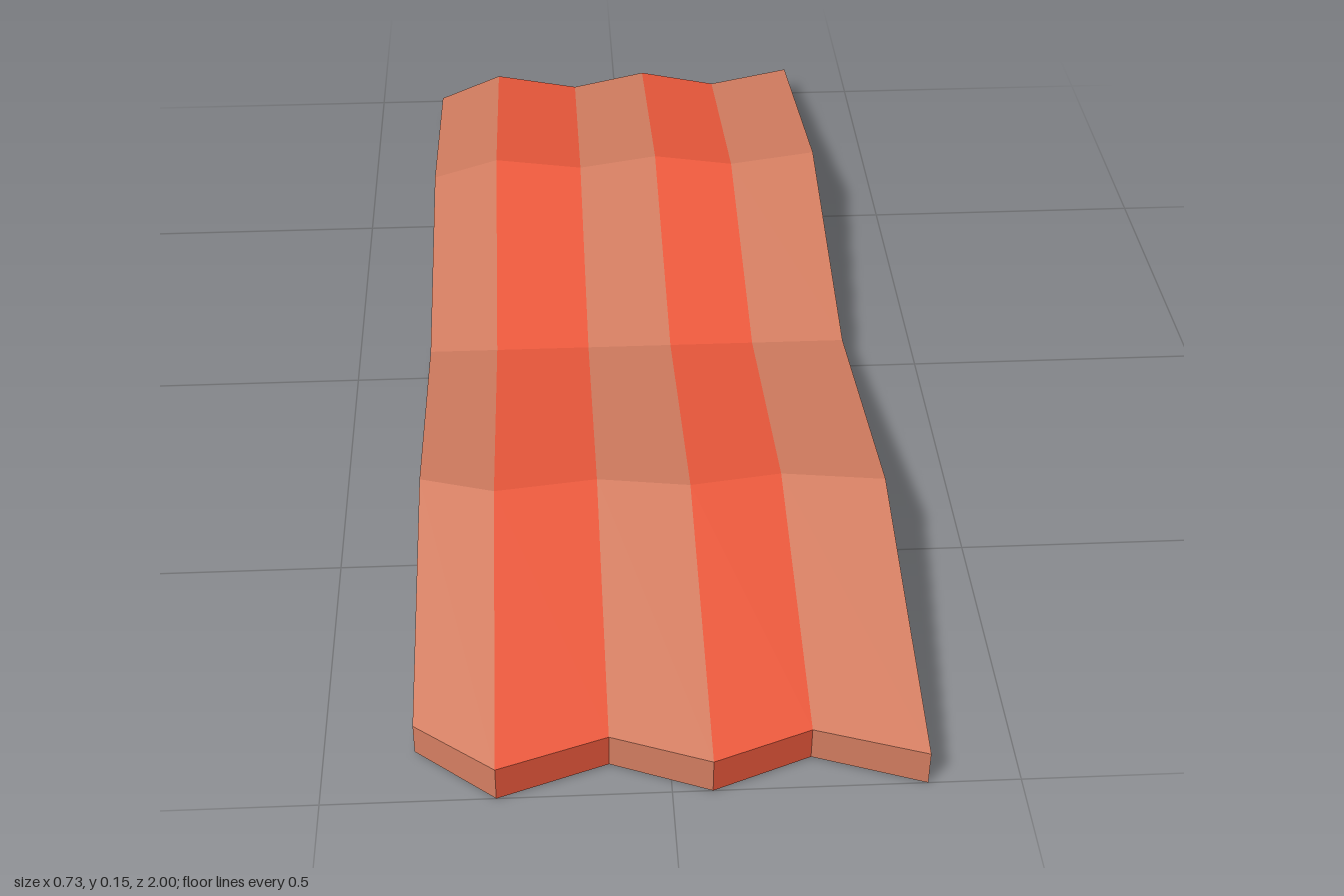
import * as THREE from 'three';

// Column edges across the strip: x, half length, height of the underside at the ends
const columns = [
  { x: -0.368, reach: 0.91, endY: 0.006 },
  { x: -0.25, reach: 1, endY: 0 },
  { x: -0.088, reach: 0.945, endY: 0.003 },
  { x: 0.058, reach: 1, endY: 0 },
  { x: 0.204, reach: 0.945, endY: 0.003 },
  { x: 0.366, reach: 1, endY: 0 },
];
const ROWS = 5;

// Zigzag wave along z: end, crest, middle valley, crest, end
function edgePoints({ x, reach, endY }) {
  const top = [], bottom = [];
  for (let k = 0; k < ROWS; k++) {
    const z = reach * (k / 2 - 1);
    const crest = k % 2 === 1;
    top.push([x, crest ? 0.058 + 0.182 * Math.abs(z) : 0.058, z]);
    const low = k === 2 ? 0.004 : endY;
    bottom.push([x, crest ? 0.004 + 0.176 * Math.abs(z) : low, z]);
  }
  return { top, bottom };
}

// One lengthwise stripe between two edges, walled only on the outside
function stripeGeometry(a, b, leftWall, rightWall) {
  const pos = [];
  const quad = (p, q, r, s) => pos.push(...p, ...q, ...r, ...p, ...r, ...s);
  const end = ROWS - 1;
  for (let k = 0; k < end; k++) {
    quad(a.top[k], a.top[k + 1], b.top[k + 1], b.top[k]);
    quad(a.bottom[k], b.bottom[k], b.bottom[k + 1], a.bottom[k + 1]);
    if (rightWall) quad(b.bottom[k + 1], b.bottom[k], b.top[k], b.top[k + 1]);
    if (leftWall) quad(a.bottom[k], a.bottom[k + 1], a.top[k + 1], a.top[k]);
  }
  // Front and back ends
  quad(a.bottom[end], b.bottom[end], b.top[end], a.top[end]);
  quad(b.bottom[0], a.bottom[0], a.top[0], b.top[0]);
  const geometry = new THREE.BufferGeometry();
  geometry.setAttribute('position', new THREE.Float32BufferAttribute(pos, 3));
  geometry.computeVertexNormals();
  return geometry;
}

export function createModel() {
  const group = new THREE.Group();
  group.name = 'baconStrip';
  const fat = new THREE.MeshStandardMaterial({ color: 0xd67f62, flatShading: true });
  const meat = new THREE.MeshStandardMaterial({ color: 0xee5a3d, flatShading: true });
  const edges = columns.map(edgePoints);

  // Alternating fat and meat stripes
  const last = edges.length - 2;
  for (let i = 0; i <= last; i++) {
    const isMeat = i % 2 === 1;
    const geometry = stripeGeometry(edges[i], edges[i + 1], i === 0, i === last);
    const mesh = new THREE.Mesh(geometry, isMeat ? meat : fat);
    mesh.name = (isMeat ? 'meatStripe' : 'fatStripe') + (i + 1);
    group.add(mesh);
  }
  return group;
}
